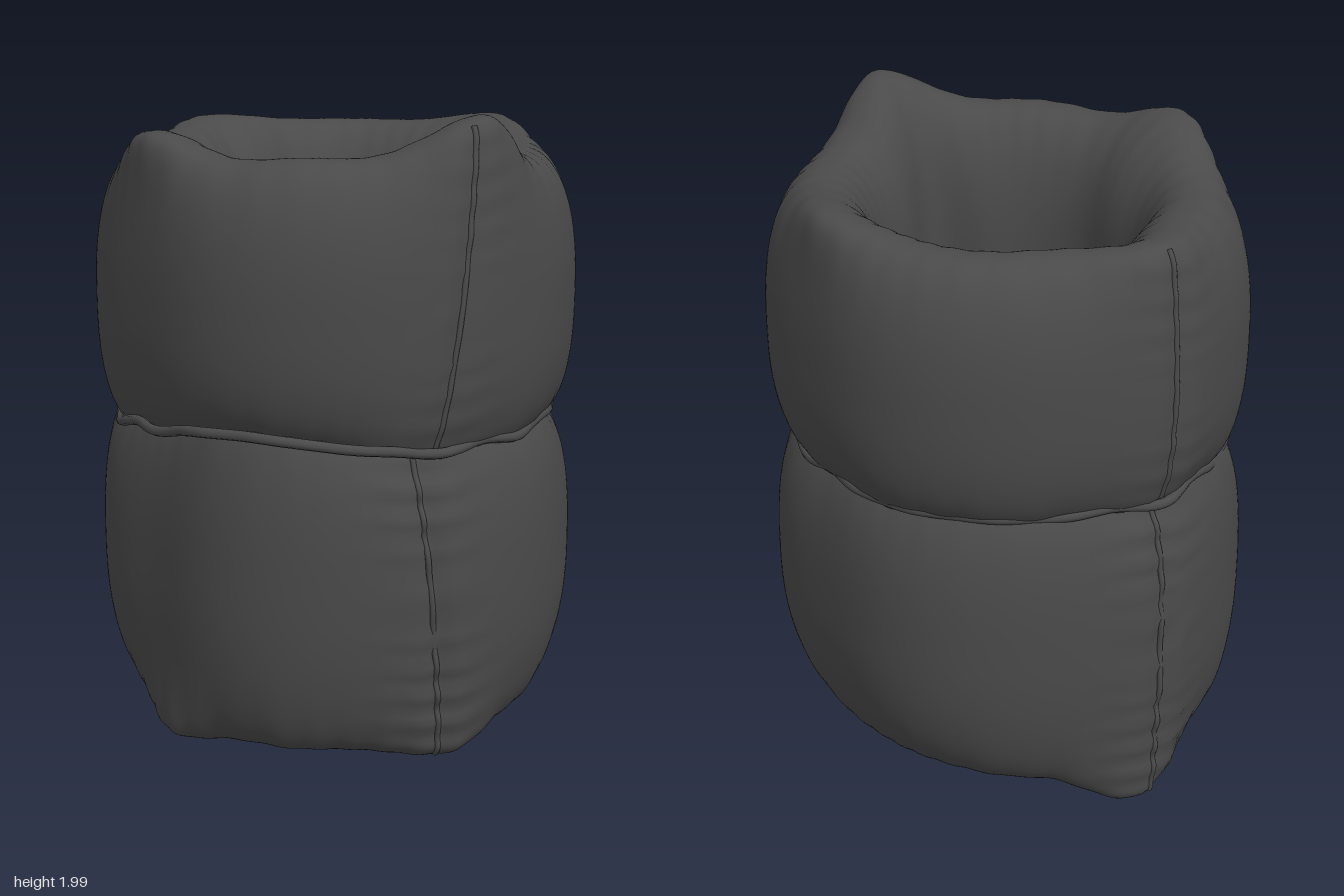
import * as THREE from 'three';

const rad = (d) => d * Math.PI / 180;

// Soft bump of height 1 around an angle (degrees), with a width in radians
function bump(theta, centre, width) {
  let d = theta - rad(centre);
  d = Math.atan2(Math.sin(d), Math.cos(d));
  return Math.exp(-(d * d) / (width * width));
}

// Height of the weld between the two air chambers
const waist = (t) => 1.035 + 0.07 * bump(t, 95, 0.5) - 0.04 * bump(t, 165, 0.45)
  + 0.006 * Math.sin(t * 11);

// 'end' is the free rim: +1 at the top, -1 at the bottom.
// 'corner' tells how strongly that rim is drawn out to the four corners.
const upper = {
  end: 1, seams: [47, 217], twist: 0.09, wrinkle: 0.003,
  top: (t) => 1.81 + 0.177 * bump(t, 42, 0.34) + 0.11 * bump(t, 134, 0.34)
    + 0.02 * bump(t, 218, 0.3) + 0.05 * bump(t, 312, 0.35)
    + 0.07 * bump(t, 86, 0.5) + 0.02 * bump(t, 0, 0.5),
  bottom: (t) => waist(t) - 0.05,
  outer: (t) => 0.742 - 0.045 * bump(t, 133, 0.4) - 0.027 * bump(t, 312, 0.35),
  inner: (t) => 0.37 + 0.07 * bump(t, 45, 0.25) + 0.07 * bump(t, 222, 0.25)
    - 0.02 * bump(t, 135, 0.3) + 0.01 * bump(t, 312, 0.25) + 0.02 * bump(t, 263, 0.3),
  corner: (t) => 0.055 * bump(t, 44, 0.3) + 0.09 * bump(t, 134, 0.32)
    + 0.06 * bump(t, 218, 0.3) + 0.07 * bump(t, 310, 0.32),
};

const lower = {
  end: -1, seams: [54, 219], twist: -0.07, wrinkle: 0.008,
  top: (t) => waist(t) + 0.05,
  bottom: (t) => 0.1 - 0.035 * bump(t, 50, 0.3) - 0.098 * bump(t, 223, 0.28)
    - 0.05 * bump(t, 130, 0.32),
  outer: (t) => 0.742 - 0.075 * bump(t, 133, 0.42) - 0.05 * bump(t, 312, 0.42),
  // Opening is a soft rectangle lying along the diagonal between the seams
  inner: (t) => {
    const c = Math.cos(t - rad(47)), s = Math.sin(t - rad(47));
    const u = Math.abs(c) / (c > 0 ? 0.345 : 0.375);
    const v = Math.abs(s) / (s > 0 ? 0.33 : 0.22);
    return Math.pow(u ** 10 + v ** 10, -1 / 10);
  },
  corner: (t) => 0.08 * bump(t, 50, 0.3) + 0.1 * bump(t, 130, 0.32)
    + 0.1 * bump(t, 222, 0.3) + 0.03 * bump(t, 312, 0.32),
};

// Point on an inflated chamber: t runs round the arm, p round the section
function chamberPoint(c, t, p) {
  const free = c.end * Math.sin(p) > 0;
  const n = free ? 2.3 : 2.7;
  const power = (v) => Math.sign(v) * Math.pow(Math.abs(v), 2 / n);
  const cx = power(Math.cos(p)), cy = power(Math.sin(p));
  const [s1, s2] = c.seams;
  const outer = c.outer(t) + 0.03 * bump(t, s2, 0.25) + 0.01 * bump(t, 275, 0.4);
  const inner = c.inner(t);
  const top = c.top(t), bottom = c.bottom(t);
  let r = (outer + inner) / 2 + cx * (outer - inner) / 2;
  const y = (top + bottom) / 2 + cy * (top - bottom) / 2;
  // Rim drawn outwards at the corners, up to the outer wall
  if (free) {
    r += c.corner(t) * Math.abs(cy) ** 4;
    r = Math.min(r, outer);
  }
  // Narrow grooves and cross wrinkles where the seams pull the outer sheet in
  const wall = Math.max(cx, 0);
  const groove = bump(t, s1, 0.05) + bump(t, s2, 0.05);
  const pull = bump(t, s1, 0.2) + bump(t, s2, 0.2);
  r += wall * (-0.02 * groove + c.wrinkle * pull * Math.sin(y * 68 + Math.sin(t * 9)));
  // Radial folds on the rolled rims
  r += 0.005 * cy * Math.sin(t * 37 + 2 * Math.sin(t * 5)) * (1 - Math.abs(cx));
  const a = t - c.twist * cy * bump(t, s1, 0.5);
  return new THREE.Vector3(r * Math.cos(a), y, r * Math.sin(a));
}

function chamberGeometry(c, nt = 200, np = 96) {
  const pos = [], index = [];
  for (let i = 0; i < nt; i++) {
    for (let j = 0; j < np; j++) {
      const v = chamberPoint(c, i / nt * Math.PI * 2, j / np * Math.PI * 2);
      pos.push(v.x, v.y, v.z);
      const j2 = (j + 1) % np, i2 = (i + 1) % nt;
      const a = i * np + j, b = i * np + j2, d = i2 * np + j, e = i2 * np + j2;
      index.push(a, b, d, b, e, d);
    }
  }
  const g = new THREE.BufferGeometry();
  g.setAttribute('position', new THREE.Float32BufferAttribute(pos, 3));
  g.setIndex(index);
  g.computeVertexNormals();
  return g;
}

export function createModel() {
  const group = new THREE.Group();
  const vinyl = new THREE.MeshStandardMaterial({ color: 0x4a4a4a });
  vinyl.name = 'darkGreyVinyl';
  const add = (name, geometry) => {
    const mesh = new THREE.Mesh(geometry, vinyl);
    mesh.name = name;
    group.add(mesh);
  };

  // Two stacked air chambers with their welded side seams
  for (const [name, c] of [['upper', upper], ['lower', lower]]) {
    add(name + 'Chamber', chamberGeometry(c));
    c.seams.forEach((deg, k) => {
      const pts = [];
      for (let i = 0; i <= 24; i++) {
        pts.push(chamberPoint(c, rad(deg), rad(-75 + i * 150 / 24)));
      }
      const path = new THREE.CatmullRomCurve3(pts);
      add(name + (k ? 'BackSeam' : 'FrontSeam'), new THREE.TubeGeometry(path, 64, 0.009, 8));
    });
  }

  // Crumpled weld running round the waist
  const ring = [];
  for (let i = 0; i < 72; i++) {
    const t = i / 72 * Math.PI * 2;
    const r = 0.672 + 0.055 * bump(t, 88, 0.5) + 0.04 * bump(t, 217, 0.25)
      - 0.02 * bump(t, 135, 0.3) - 0.03 * bump(t, 312, 0.35) + 0.006 * Math.sin(t * 17);
    ring.push(new THREE.Vector3(r * Math.cos(t), waist(t) + 0.006 * Math.sin(t * 13), r * Math.sin(t)));
  }
  add('waistWeld', new THREE.TubeGeometry(new THREE.CatmullRomCurve3(ring, true), 216, 0.016, 8, true));

  return group;
}
